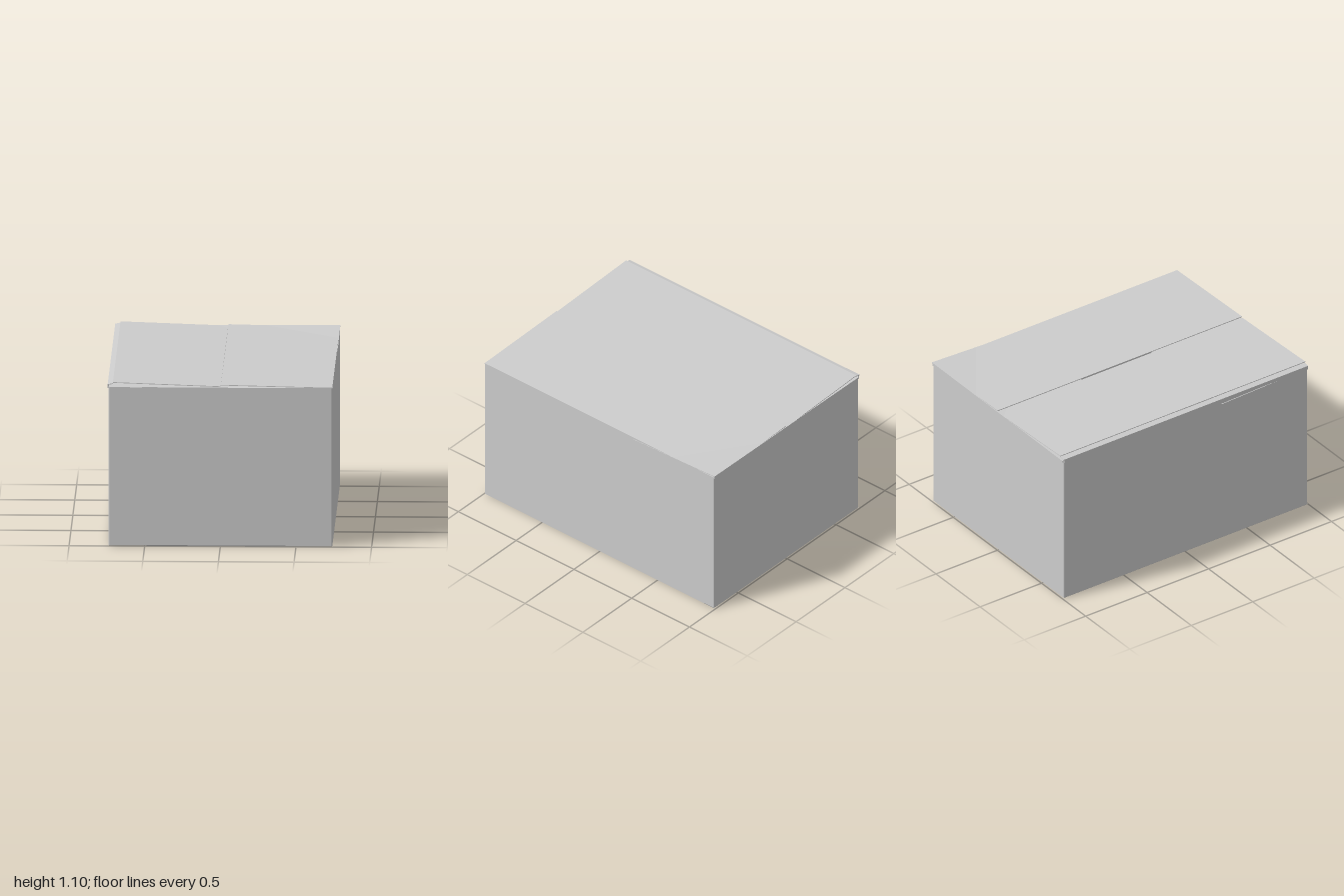
import * as THREE from 'three';

const card = new THREE.MeshStandardMaterial({ color: 0xcccccc });
card.name = 'plain card';

// Sheet spanning x and z, with heights of its underside and top given by rules
function sheet(name, [x0, x1], [z0, z1], bottom, top) {
  const geo = new THREE.BoxGeometry(x1 - x0, 1, z1 - z0);
  geo.translate((x0 + x1) / 2, 0, (z0 + z1) / 2);
  const p = geo.attributes.position;
  for (let i = 0; i < p.count; i++) {
    const rule = p.getY(i) > 0 ? top : bottom;
    p.setY(i, rule(p.getX(i), p.getZ(i)));
  }
  geo.computeVertexNormals();
  const mesh = new THREE.Mesh(geo, card);
  mesh.name = name;
  return mesh;
}

// Flap of even thickness
const flap = (name, xs, zs, top, t = 0.005) =>
  sheet(name, xs, zs, (x, z) => top(x, z) - t, top);

// Rectangle with slightly rounded corners
function outline(Target, w, d, r) {
  const s = new Target();
  const corners = [[1, -1, -90], [1, 1, 0], [-1, 1, 90], [-1, -1, 180]];
  corners.forEach(([sx, sz, a]) => {
    const start = THREE.MathUtils.degToRad(a);
    s.absarc(sx * (w - r), sz * (d - r), r, start, start + Math.PI / 2, false);
  });
  s.closePath();
  return s;
}

export function createModel() {
  const box = new THREE.Group();
  box.name = 'closedBox';
  const W = 0.74, D = 0.992, H = 1.07;

  // Four walls as one hollow sleeve
  const ring = outline(THREE.Shape, W, D, 0.008);
  ring.holes.push(outline(THREE.Path, W - 0.008, D - 0.008, 0.004));
  const sleeve = new THREE.ExtrudeGeometry(ring, { depth: H - 0.006, bevelEnabled: false, curveSegments: 3 });
  sleeve.rotateX(-Math.PI / 2).translate(0, 0.006, 0);
  const walls = new THREE.Mesh(sleeve, card);
  walls.name = 'walls';
  box.add(walls);

  // Bottom, drawn in a little at its lower edge
  const floor = new THREE.BoxGeometry(2 * W, 0.006, 2 * D).translate(0, 0.003, 0);
  const p = floor.attributes.position;
  for (let i = 0; i < p.count; i++) {
    if (p.getY(i) < 0.003) {
      p.setX(i, Math.sign(p.getX(i)) * (W - 0.006));
      p.setZ(i, Math.sign(p.getZ(i)) * (D - 0.006));
    }
  }
  floor.computeVertexNormals();
  const bottom = new THREE.Mesh(floor, card);
  bottom.name = 'bottom';
  box.add(bottom);

  // Height rules of the four lid flaps
  const leftTop = (x) => 1.09 - 0.022 * x;
  const rightTop = (x) => 1.08 - 0.035 * x;
  const backTop = (x, z) => 1.083 + 0.0068 * x - 0.04 * (z + 1);
  const frontTop = (x, z) => 1.07 - 0.002 * x + 0.03 * (z - 1);
  const rim = () => H - 0.006;

  // Inner end flaps, slanting down into the box
  box.add(flap('backInnerFlap', [-0.735, 0.743], [-1, -0.29], backTop));
  box.add(flap('frontInnerFlap', [-0.745, 0.735], [0.29, 0.99], frontTop));
  box.add(sheet('backFold', [-0.735, 0.74], [-0.998, -0.99], rim, backTop));

  // Long outer flaps, meeting on the centre line
  box.add(flap('leftOuterFlap', [0.004, 0.74], [-0.995, 0.993], leftTop));
  box.add(flap('rightOuterFlap', [-0.71, 0.002], [-0.998, 0.995], rightTop));

  // Raised crease along the right outer flap
  box.add(flap('rightCrease', [-0.745, -0.71], [-0.995, 0.993], (x) => 1.09 + 0.2 * (x + 0.745)));
  box.add(sheet('rightFold', [-0.745, -0.738], [-0.99, 0.99], rim, () => 1.09));

  return box;
}
